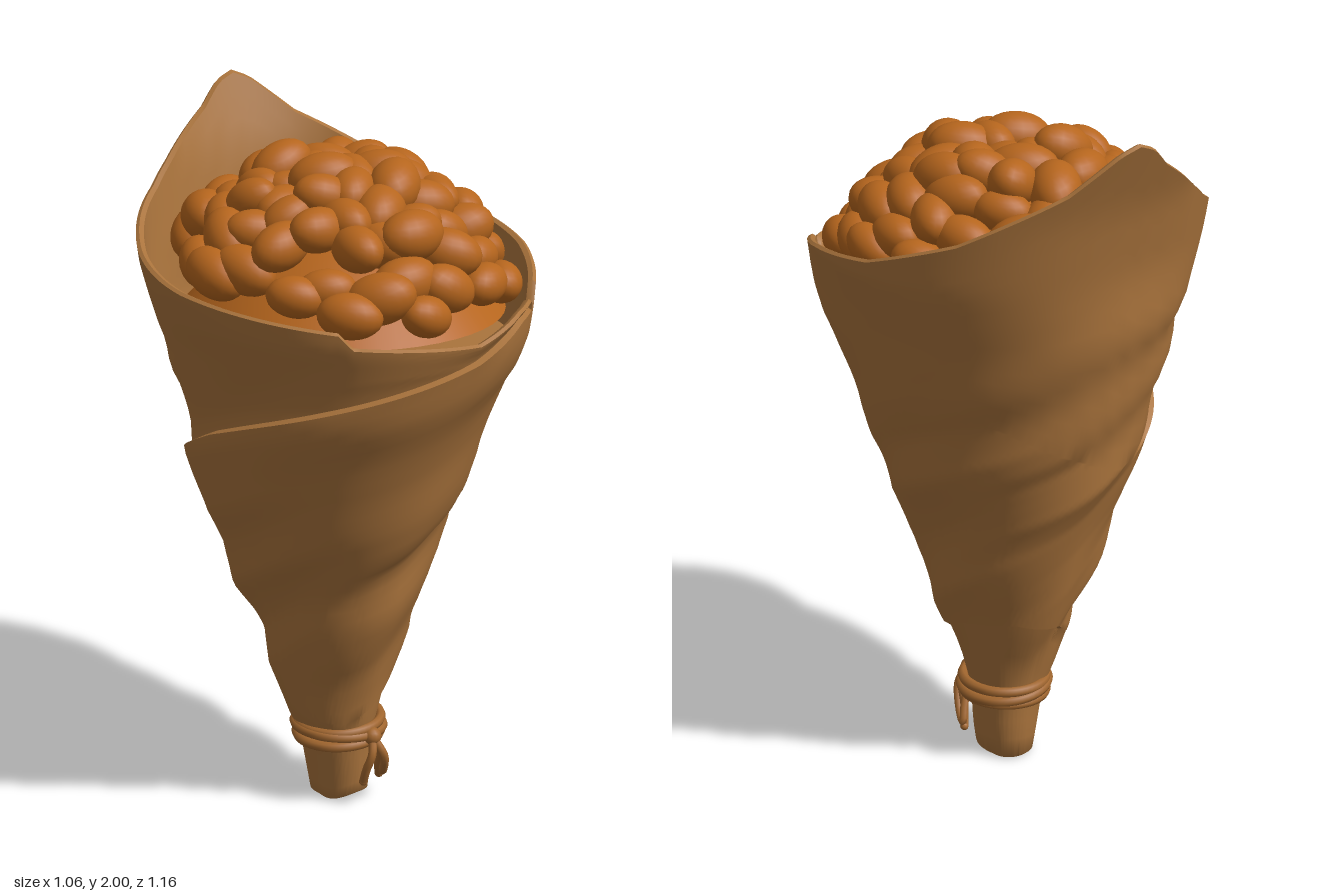
import * as THREE from 'three';
import { toCreasedNormals } from 'three/addons/utils/BufferGeometryUtils.js';

const TAU = Math.PI * 2;
const { smoothstep, clamp, radToDeg } = THREE.MathUtils;

// Linear interpolation in a small table of [key, value, value...] rows
function lookup(table, key, column = 1) {
  let k = 0;
  while (k < table.length - 2 && key > table[k + 1][0]) k++;
  const a = table[k], b = table[k + 1];
  const t = clamp((key - a[0]) / (b[0] - a[0]), 0, 1);
  return a[column] + (b[column] - a[column]) * t;
}

function seeded(seed) {
  return () => {
    seed = (seed * 16807) % 2147483647;
    return seed / 2147483647;
  };
}

// Cone profiles: height, then reach towards front, +x, back and -x
const PROFILES = [
  [0, 0.113, 0.068, 0.063, 0.064], [0.2, 0.14, 0.1, 0.09, 0.1], [0.26, 0.155, 0.125, 0.105, 0.135],
  [0.35, 0.17, 0.15, 0.13, 0.165], [0.47, 0.2, 0.19, 0.19, 0.205], [0.52, 0.225, 0.21, 0.208, 0.21],
  [0.6, 0.265, 0.25, 0.235, 0.22], [0.66, 0.285, 0.255, 0.25, 0.25], [0.74, 0.287, 0.265, 0.27, 0.305],
  [0.8, 0.3, 0.28, 0.29, 0.315], [0.87, 0.365, 0.315, 0.315, 0.335], [0.96, 0.405, 0.365, 0.37, 0.385],
  [1.1, 0.44, 0.38, 0.377, 0.425], [1.15, 0.46, 0.4, 0.405, 0.44], [1.22, 0.49, 0.425, 0.42, 0.435],
  [1.32, 0.55, 0.45, 0.428, 0.46], [1.42, 0.58, 0.472, 0.468, 0.485], [1.5, 0.585, 0.495, 0.467, 0.51],
  [1.6, 0.58, 0.525, 0.47, 0.535], [1.8, 0.57, 0.54, 0.515, 0.545], [2.0, 0.57, 0.55, 0.595, 0.56],
];
// Heights by angle in degrees from the front, positive towards +x
const RIM = [
  [-180, 1.92], [-150, 1.75], [-120, 1.64], [-90, 1.59], [-60, 1.56], [-40, 1.54],
  [-36, 1.5], [-20, 1.49], [0, 1.475], [18, 1.52], [29, 1.53], [32, 1.49], [36, 1.56],
  [60, 1.61], [90, 1.65], [120, 1.74], [150, 1.88], [163, 1.98], [168, 2.0], [173, 1.98], [180, 1.92],
];
const UPPER_SEAM = [[-180, 1.0], [-150, 0.97], [-90, 1.18], [-45, 1.3], [0, 1.42], [30, 1.53], [180, 1.0]];
const UPPER_STEP = [[-180, 0], [-155, 0], [-115, 0.025], [10, 0.02], [30, 0.012], [33, 0], [180, 0]];
const LOWER_EDGE = [[-180, 0.46], [-140, 0.39], [-60, 0.27], [-30, 0.26], [0, 0.3], [25, 0.36], [55, 0.43], [90, 0.475], [140, 0.495], [180, 0.46]];
const LOWER_STEP = [[-180, 0.016], [-150, 0.006], [-120, 0], [-30, 0], [15, 0.014], [180, 0.016]];

// Point on the sheet: the four profiles are blended round the cone and twisted
// so that their bulges run as diagonal folds
function conePoint(a, y, offset) {
  const twist = 0.16 * smoothstep(y, 0.25, 0.5) * (1 - smoothstep(y, 1.2, 1.5));
  let r = offset;
  for (let side = 0; side < 4; side++) {
    const turn = a - side * Math.PI / 2;
    const d = turn - TAU * Math.round(turn / TAU);
    if (Math.abs(d) < Math.PI / 2) r += Math.cos(d) ** 2 * lookup(PROFILES, y - twist * d, side + 1);
  }
  const diagonal = Math.sin(2 * a) ** 2;
  r += 0.007 * Math.sin(TAU * y / 0.33 - 4 * a - 1.07) * diagonal * smoothstep(y, 0.4, 0.6) * (1 - smoothstep(y, 1.2, 1.5));
  r += 0.025 * diagonal * Math.max(0, -Math.cos(a)) * smoothstep(y, 1.35, 1.65);
  return [Math.sin(a) * r, y, Math.cos(a) * r];
}

// One column of the wrapped sheet: base, stem, outer wrap, upper layer, lip, lining
function coneColumn(a) {
  const deg = radToDeg(a);
  const rim = lookup(RIM, deg);
  const low = lookup(LOWER_EDGE, deg), lowStep = lookup(LOWER_STEP, deg);
  const seam = Math.min(lookup(UPPER_SEAM, deg), rim - 0.03), step = lookup(UPPER_STEP, deg);
  const foot = 0.025 * Math.max(0, Math.cos(a)) ** 6;
  const column = [[0, 0.04, 0.025], conePoint(a, foot + 0.015, -0.02), conePoint(a, foot, -0.008)];
  const span = (from, to, count, offsetAt) => {
    for (let i = 0; i <= count; i++) {
      const y = from + (to - from) * i / count;
      column.push(conePoint(a, y, offsetAt(y)));
    }
  };
  // The tucked layer flares back out towards the rim
  const tuck = y => -step * (1 - smoothstep(y, seam, rim));
  span(foot + 0.008, low, 8, y => -lowStep * smoothstep(y, 0.05, 0.25));
  span(low + 0.005, seam, 30, () => 0);
  span(seam + 0.006, rim - 0.006, 16, tuck);
  column.push(conePoint(a, rim, -0.01));
  span(rim - 0.006, 1.38, 10, y => tuck(y) - 0.022);
  column.push([0, 1.4, 0.04]);
  return column;
}

function coneGeometry(columns = 180) {
  const positions = [], indices = [];
  let rows = 0;
  for (let i = 0; i < columns; i++) {
    const column = coneColumn(-Math.PI + TAU * i / columns);
    rows = column.length;
    column.forEach(p => positions.push(...p));
  }
  for (let i = 0; i < columns; i++) {
    const a = i * rows, b = ((i + 1) % columns) * rows;
    for (let j = 0; j < rows - 1; j++) {
      if (j > 0) indices.push(a + j, b + j, b + j + 1);
      if (j < rows - 2) indices.push(a + j, b + j + 1, a + j + 1);
    }
  }
  const geometry = new THREE.BufferGeometry();
  geometry.setAttribute('position', new THREE.Float32BufferAttribute(positions, 3));
  geometry.setIndex(indices);
  return toCreasedNormals(geometry, 0.8);
}

export function createModel() {
  const model = new THREE.Group();
  model.name = 'nutCone';
  const paper = new THREE.MeshStandardMaterial({ color: 0xa9733c });
  paper.name = 'kraft paper brown';
  const nutBrown = new THREE.MeshStandardMaterial({ color: 0xb5651d });
  nutBrown.name = 'roasted nut brown';
  const twine = new THREE.MeshStandardMaterial({ color: 0xa2672f });
  twine.name = 'twine brown';

  const add = (name, geometry, material, parent = model) => {
    const mesh = new THREE.Mesh(geometry, material);
    mesh.name = name;
    parent.add(mesh);
    return mesh;
  };

  add('paperCone', coneGeometry(), paper);

  // Heap below the loose nuts
  const heap = [];
  for (let i = 0; i <= 8; i++) {
    const r = 0.44 * (1 - i / 8);
    heap.push(new THREE.Vector2(r, 1.72 - 1.3 * r * r));
  }
  add('nutHeap', new THREE.LatheGeometry(heap, 48), nutBrown).position.z = 0.045;

  // Loose nuts spread over the heap in a sunflower spiral; the outer ones lie along the paper
  const nuts = new THREE.Group();
  nuts.name = 'nuts';
  model.add(nuts);
  const random = seeded(4711);
  const nutGeometry = new THREE.SphereGeometry(1, 20, 14);
  const count = 74;
  for (let i = 0; i < count; i++) {
    const r = 0.425 * Math.sqrt((i + 0.5) / count);
    const a = i * 2.39996 + (random() - 0.5) * 0.15;
    const x = Math.sin(a) * r, z = Math.cos(a) * r * 1.04;
    const nut = add('nut', nutGeometry, nutBrown, nuts);
    nut.position.set(x, 1.815 - 2.2 * r ** 2.6 - 0.1 * z + (random() - 0.5) * 0.06, z + 0.045);
    const size = 0.86 + random() * 0.26;
    nut.scale.set(0.092 * size, 0.064 * size, 0.064 * size);
    const yaw = r > 0.33 ? a + (random() - 0.5) * 0.7 : random() * TAU;
    nut.rotation.set((random() - 0.5) * 0.6, yaw, (random() - 0.5) * 0.9);
  }

  // Twine wound round the neck
  const tie = new THREE.Group();
  tie.name = 'twineTie';
  model.add(tie);
  [[0.195, 0.04], [0.218, -0.07], [0.236, 0.03]].forEach(([y, tilt], i) => {
    const ring = add('twineWrap', new THREE.TorusGeometry(0.12 + (i % 2) * 0.006, 0.015, 8, 48), twine, tie);
    ring.position.set(0, y, 0.025);
    ring.rotation.set(Math.PI / 2, tilt, 0);
  });

  // Knot with hanging ends and a small loop
  const knot = add('twineKnot', new THREE.SphereGeometry(0.026, 14, 10), twine, tie);
  knot.position.set(0.01, 0.215, 0.158);
  const strands = [
    [[0.01, 0.215, 0.16], [-0.01, 0.17, 0.18], [-0.018, 0.12, 0.165], [-0.012, 0.075, 0.145]],
    [[0.01, 0.215, 0.16], [0.03, 0.17, 0.17], [0.05, 0.11, 0.14], [0.08, 0.06, 0.11]],
    [[0.01, 0.21, 0.165], [0.03, 0.16, 0.185], [0.06, 0.09, 0.15], [0.085, 0.075, 0.11], [0.07, 0.12, 0.12], [0.01, 0.21, 0.15]],
  ];
  strands.forEach(points => {
    const curve = new THREE.CatmullRomCurve3(points.map(p => new THREE.Vector3(...p)));
    add('twineStrand', new THREE.TubeGeometry(curve, 24, 0.012, 8), twine, tie);
    const tip = add('twineEnd', new THREE.SphereGeometry(0.0125, 10, 8), twine, tie);
    tip.position.set(...points[points.length - 1]);
  });

  return model;
}
